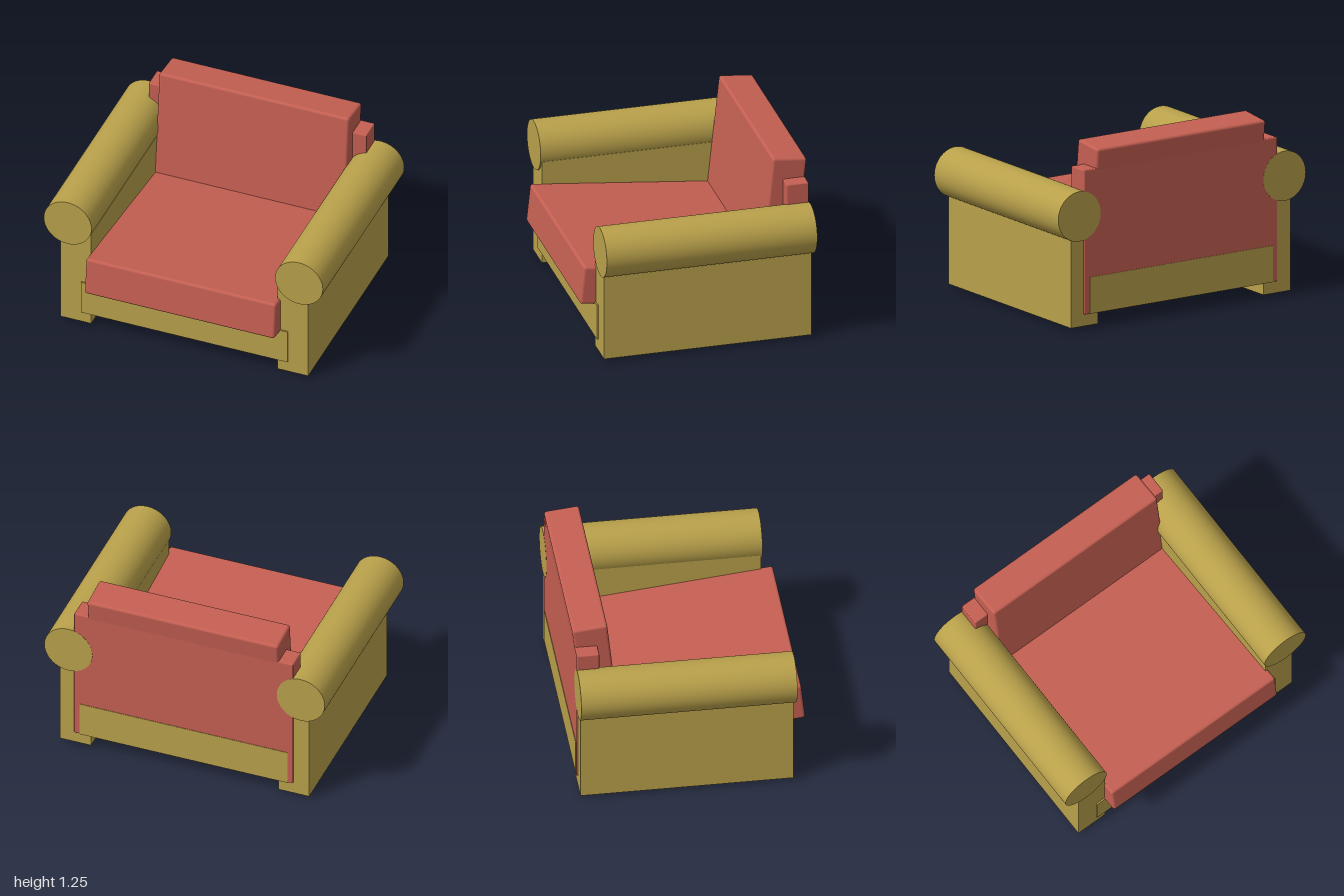
import * as THREE from 'three';
import { RoundedBoxGeometry } from 'three/addons/geometries/RoundedBoxGeometry.js';

const gold = new THREE.MeshStandardMaterial({ color: 0xb8a04a });
const red = new THREE.MeshStandardMaterial({ color: 0xc45f52 });

export function createModel() {
  const model = new THREE.Group();

  function add(name, geometry, material, x, y, z, tilt = 0) {
    const mesh = new THREE.Mesh(geometry, material);
    mesh.name = name;
    mesh.position.set(x, y, z);
    mesh.rotation.x = tilt;
    model.add(mesh);
    return mesh;
  }

  // Arms: side panel, rolled top and two small feet each
  const arms = [
    { side: 'right', panelX: -0.775, rollX: -0.829, rollY: 0.815, footX: -0.777 },
    { side: 'left', panelX: 0.779, rollX: 0.827, rollY: 0.78, footX: 0.797 },
  ];
  for (const { side, panelX, rollX, rollY, footX } of arms) {
    add(`${side}ArmPanel`, new THREE.BoxGeometry(0.22, 0.74, 1.43), gold, panelX, 0.39, -0.04);
    const roll = new THREE.CylinderGeometry(0.171, 0.171, 1.45, 64).rotateX(Math.PI / 2);
    add(`${side}ArmRoll`, roll, gold, rollX, rollY, -0.04);
    for (const [end, z] of [['Front', 0.583], ['Back', -0.662]]) {
      add(`${side}${end}Foot`, new THREE.CylinderGeometry(0.034, 0.034, 0.03, 24), gold, footX, 0.015, z);
    }
  }

  // Base frame between the arms
  add('baseFrame', new THREE.BoxGeometry(1.48, 0.25, 1.452), gold, 0.005, 0.226, -0.041);

  // Upholstered back panel
  add('backrest', new RoundedBoxGeometry(1.56, 0.99, 0.152, 3, 0.008), red, 0.008, 0.595, -0.688);

  // Loose cushions, both leaning back by the same angle
  const lean = -0.105;
  add('seatCushion', new RoundedBoxGeometry(1.36, 0.27, 1.3, 4, 0.018), red, 0.01, 0.41, 0.124, lean);
  add('backCushion', new RoundedBoxGeometry(1.36, 0.8, 0.236, 4, 0.018), red, 0.01, 0.837, -0.62, lean);

  return model;
}
